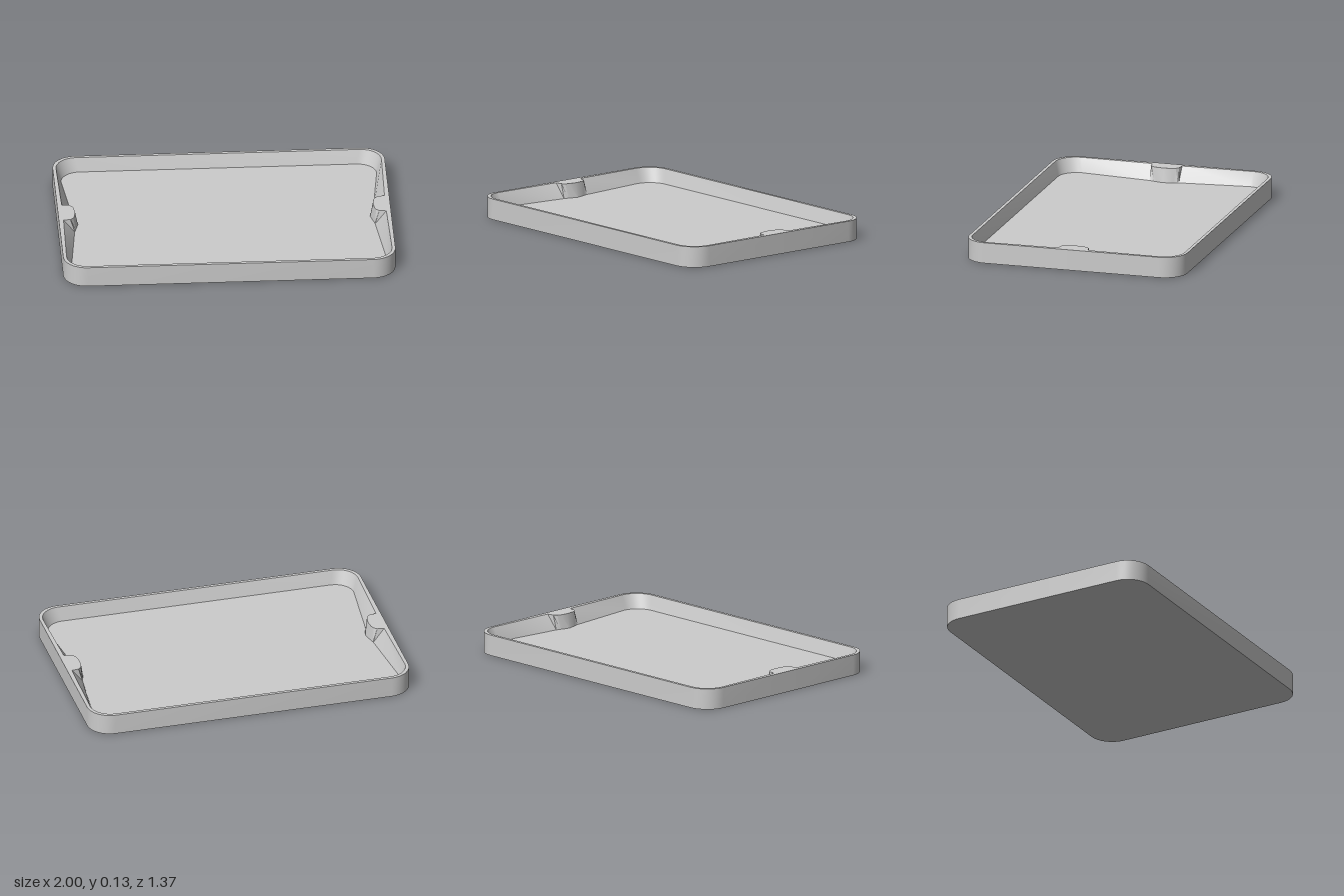
import * as THREE from 'three';
import { toCreasedNormals } from 'three/addons/utils/BufferGeometryUtils.js';

const HEIGHT = 0.127, FLOOR = 0.04;
const material = new THREE.MeshStandardMaterial({ color: 0xcccccc });

// One quarter outline: given side points, then a rounded corner; mirrored to a closed loop.
function outline(side, halfX, halfZ, radius) {
  const quarter = side.map(([x, z]) => new THREE.Vector2(x, z));
  for (let i = 0; i <= 8; i++) {
    const a = (i / 8) * Math.PI / 2;
    quarter.push(new THREE.Vector2(
      halfX - radius + radius * Math.cos(a),
      halfZ - radius + radius * Math.sin(a)));
  }
  const flip = (pts, sx, sz) => pts.map(p => new THREE.Vector2(p.x * sx, p.y * sz));
  const half = [...quarter, ...flip([...quarter].reverse(), -1, 1)];
  // the point on z = 0 is shared between the front and back halves
  const back = flip([...half].reverse(), 1, -1);
  return [...half, ...back.slice(side[0][1] === 0 ? 1 : 0, side[0][1] === 0 ? -1 : undefined)];
}

// Wall between two loops with equal point counts; faces outward, or inward if asked.
function wall(low, yLow, high, yHigh, inward) {
  const n = low.length, pos = [], index = [];
  low.forEach((p, i) => pos.push(p.x, yLow, p.y, high[i].x, yHigh, high[i].y));
  for (let i = 0; i < n; i++) {
    const a = 2 * i, b = a + 1, c = 2 * ((i + 1) % n), d = c + 1;
    if (inward) index.push(a, c, b, b, c, d);
    else index.push(a, b, c, b, d, c);
  }
  const g = new THREE.BufferGeometry();
  g.setAttribute('position', new THREE.Float32BufferAttribute(pos, 3));
  g.setIndex(index);
  return toCreasedNormals(g, 0.4);
}

// Flat face at height y, looking up or down, with an optional hole.
function flat(loop, y, up, hole) {
  const sign = up ? -1 : 1;
  const turn = pts => pts.map(p => new THREE.Vector2(p.x, p.y * sign));
  const shape = new THREE.Shape(turn(loop));
  if (hole) shape.holes.push(new THREE.Path(turn(hole)));
  const g = new THREE.ShapeGeometry(shape);
  g.rotateX(up ? -Math.PI / 2 : Math.PI / 2);
  return g.translate(0, y, 0);
}

export function createModel() {
  const group = new THREE.Group();
  group.name = 'tray';
  const add = (name, geometry) => {
    const mesh = new THREE.Mesh(geometry, material);
    mesh.name = name;
    group.add(mesh);
  };

  const outer = outline([[1, 0]], 1, 0.685, 0.14);
  // inner edges carry a finger-rest bump in the middle of each short side
  const innerTop = outline(
    [[0.897, 0], [0.903, 0.05], [0.912, 0.072], [0.93, 0.088], [0.972, 0.094]], 0.98, 0.665, 0.125);
  const innerFloor = outline(
    [[0.88, 0], [0.89, 0.04], [0.896, 0.06], [0.904, 0.088], [0.905, 0.094]], 0.95, 0.642, 0.115);

  add('outerWall', wall(outer, 0, outer, HEIGHT, false));
  add('base', flat(outer, 0, false));
  add('rim', flat(outer, HEIGHT, true, innerTop));
  add('innerWall', wall(innerFloor, FLOOR, innerTop, HEIGHT, true));
  add('trayFloor', flat(innerFloor, FLOOR, true));
  return group;
}
